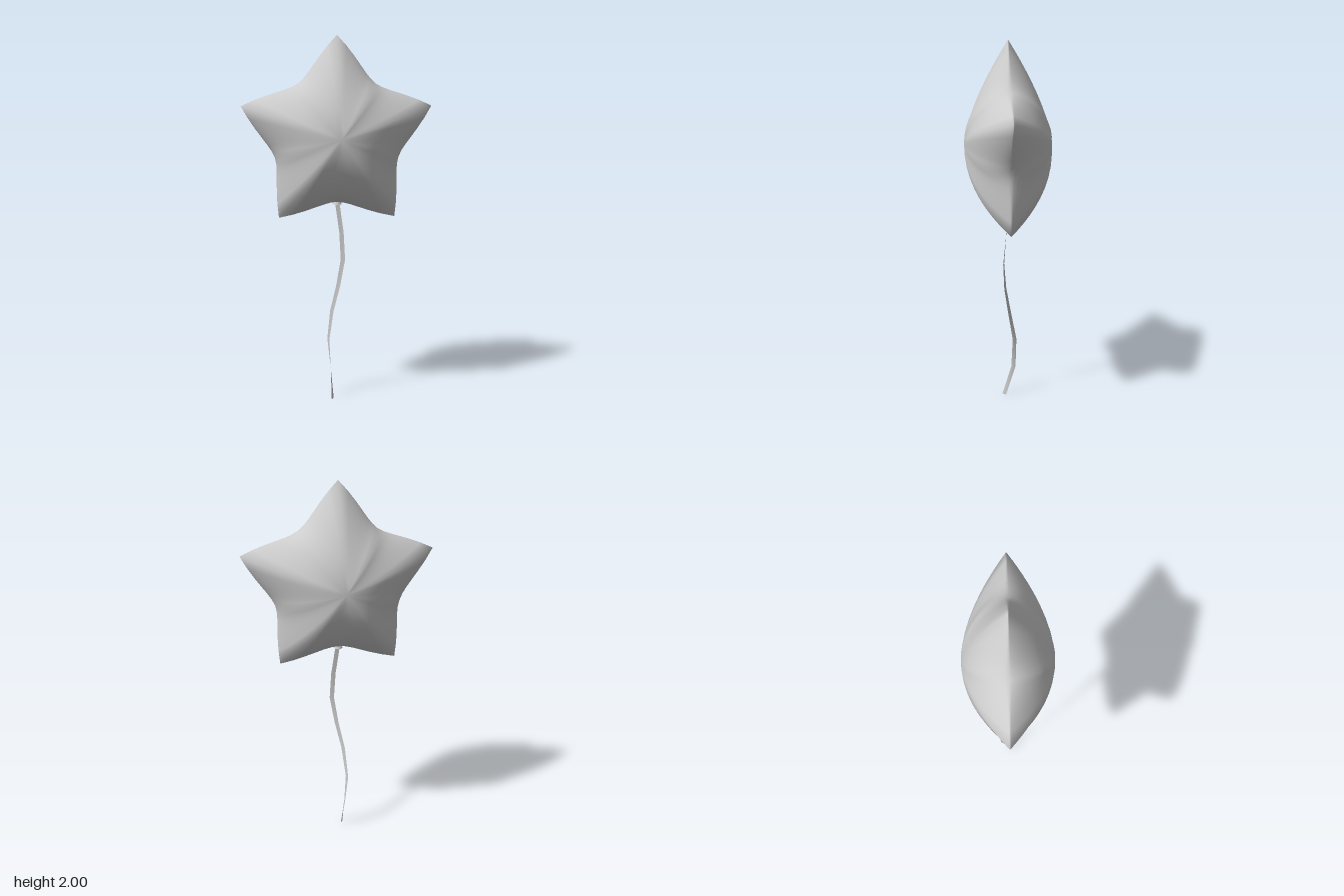
import * as THREE from 'three';
import { mergeVertices } from 'three/addons/utils/BufferGeometryUtils.js';

const CENTRE_Y = 1.465;
const grey = () => new THREE.MeshStandardMaterial({ color: 0xcccccc, side: THREE.DoubleSide });

// Inflated five-pointed star: a sphere whose rings are pulled to a star outline
function starGeometry() {
  const geo = new THREE.SphereGeometry(1, 60, 24).rotateX(Math.PI / 2);
  geo.deleteAttribute('uv');
  geo.deleteAttribute('normal');
  const pos = geo.attributes.position;
  const step = (Math.PI * 2) / 5;
  for (let i = 0; i < pos.count; i++) {
    const x = pos.getX(i), y = pos.getY(i), z = pos.getZ(i);
    const s = Math.min(1, Math.hypot(x, y));
    const angle = Math.atan2(y, x);
    // 0 on a tip, 1 in the valley between two tips
    const turn = (angle - Math.PI / 2) / step;
    const valley = Math.min(1, Math.abs(turn - Math.round(turn)) * 2);
    const radius = 0.35 + 0.185 * Math.pow(1 - valley, 1.85);
    // tips taper straight to a point, valleys are rounder; lower tips are fuller
    const a = 1.88 - 0.42 * Math.sin(angle) * (1 - valley);
    const b = 1 - 0.4 * valley;
    const depth = 0.233 * Math.pow(Math.max(0, 1 - Math.pow(s, a)), b);
    const k = s * radius;
    pos.setXYZ(i, k * Math.cos(angle), k * Math.sin(angle), Math.abs(z) < 1e-6 ? 0 : Math.sign(z) * depth);
  }
  const merged = mergeVertices(geo, 1e-5);
  merged.computeVertexNormals();
  return merged;
}

// Flat ribbon that twists on its way down: [x, y, z, twist in degrees]
function ribbonGeometry(stations, width) {
  const verts = [], index = [];
  stations.forEach(([x, y, z, deg], i) => {
    const t = THREE.MathUtils.degToRad(deg);
    const dx = Math.cos(t) * width / 2, dz = Math.sin(t) * width / 2;
    verts.push(x - dx, y, z - dz, x + dx, y, z + dz);
    if (i > 0) {
      const n = i * 2;
      index.push(n - 2, n, n - 1, n - 1, n, n + 1);
    }
  });
  const geo = new THREE.BufferGeometry();
  geo.setAttribute('position', new THREE.Float32BufferAttribute(verts, 3));
  geo.setIndex(index);
  geo.computeVertexNormals();
  return geo;
}

export function createModel() {
  const model = new THREE.Group();
  model.name = 'starBalloon';

  const star = new THREE.Mesh(starGeometry(), grey());
  star.name = 'star';
  star.position.y = CENTRE_Y;
  model.add(star);

  // Small tied neck under the star
  const neck = new THREE.Mesh(new THREE.CylinderGeometry(0.012, 0.025, 0.03, 8), grey());
  neck.name = 'neck';
  neck.position.y = 1.117;
  model.add(neck);

  const string = new THREE.Mesh(ribbonGeometry([
    [0.0, 1.12, 0.0, 0],
    [0.023, 0.95, 0.012, 6],
    [0.03, 0.8, 0.025, 16],
    [0.005, 0.65, 0.015, 30],
    [-0.028, 0.5, -0.01, 43],
    [-0.045, 0.33, -0.04, 66],
    [-0.033, 0.17, -0.033, 92],
    [-0.026, 0.0, 0.02, 122],
  ], 0.024), grey());
  string.name = 'string';
  model.add(string);

  return model;
}
